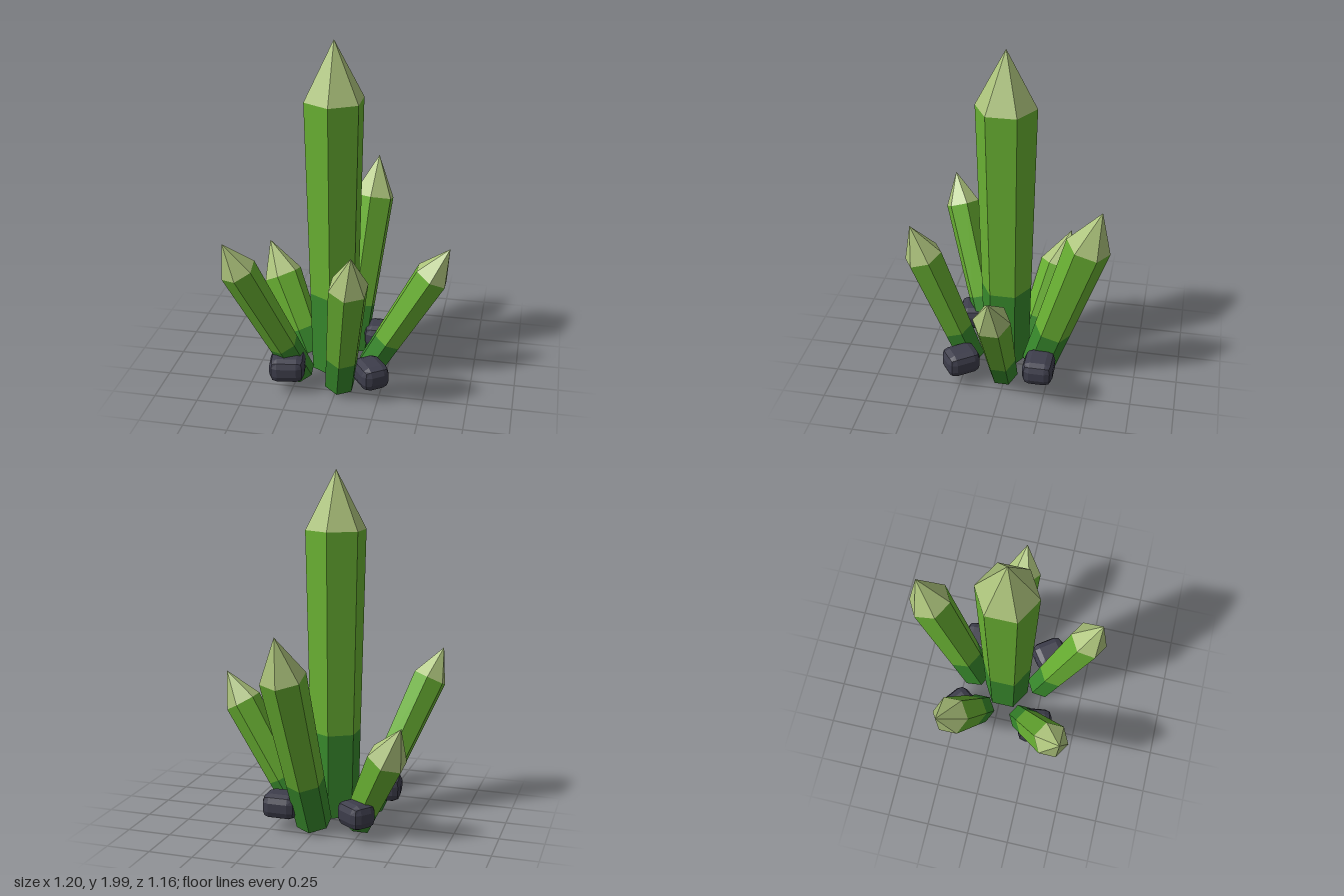
import * as THREE from 'three';
import { RoundedBoxGeometry } from 'three/addons/geometries/RoundedBoxGeometry.js';

const mat = (color) => new THREE.MeshStandardMaterial({ color, flatShading: true });

export function createModel() {
  const model = new THREE.Group();
  const rootMat = mat(0x388a2c), bodyMat = mat(0x6ab233), tipMat = mat(0xadc47c), rockMat = mat(0x3d3d4b);

  // Six-sided crystal from base point to apex: dark root, bright shaft, pale point
  function crystal(name, base, apex, radius) {
    const group = new THREE.Group();
    group.name = name;
    const a = new THREE.Vector3(...base);
    const axis = new THREE.Vector3(...apex).sub(a);
    const length = axis.length();
    const shoulder = length - radius * 1.9;
    const split = shoulder * 0.3;
    const r0 = radius * 0.79, r1 = radius * 0.85;

    const segment = (part, y0, y1, bottom, top, material, open) => {
      const geo = new THREE.CylinderGeometry(top, bottom, y1 - y0, 6, 1, open);
      geo.translate(0, (y0 + y1) / 2, 0);
      const mesh = new THREE.Mesh(geo, material);
      mesh.name = part;
      group.add(mesh);
    };
    segment('crystalRoot', 0, split, r0, r1, rootMat, false);
    segment('crystalShaft', split, shoulder, r1, radius, bodyMat, true);
    segment('crystalPoint', shoulder, length, radius, 0, tipMat, true);

    group.position.copy(a);
    group.quaternion.setFromUnitVectors(new THREE.Vector3(0, 1, 0), axis.normalize());
    model.add(group);
  }

  // Tall centre crystal and five leaning ones around it
  crystal('mainCrystal', [-0.05, 0.05, 0.027], [-0.05, 2, 0.027], 0.172);
  crystal('leftCrystal', [0.155, 0.052, 0.005], [0.6, 0.84, 0.002], 0.105);
  crystal('backCrystal', [0.01, 0.05, -0.18], [0.11, 1.17, -0.53], 0.128);
  crystal('backRightCrystal', [-0.22, 0.05, -0.1], [-0.51, 0.67, -0.29], 0.115);
  crystal('frontRightCrystal', [-0.22, 0.05, 0.16], [-0.58, 0.965, 0.44], 0.102);
  crystal('frontCrystal', [0.02, 0.05, 0.235], [0.14, 0.99, 0.54], 0.112);

  // Chamfered stones between the crystals: x, z, width, depth, turn
  const rocks = [
    [0.19, -0.208, 0.2, 0.178, 0],
    [0.2, 0.25, 0.2, 0.165, -0.95],
    [-0.28, 0.258, 0.2, 0.2, 0.15],
    [-0.25, -0.235, 0.19, 0.155, -0.65],
  ];
  for (const [x, z, width, depth, turn] of rocks) {
    const rock = new THREE.Mesh(new RoundedBoxGeometry(width, 0.14, depth, 1, 0.045), rockMat);
    rock.name = 'rock';
    rock.position.set(x, 0.148, z);
    rock.rotation.y = turn;
    model.add(rock);
  }
  return model;
}
